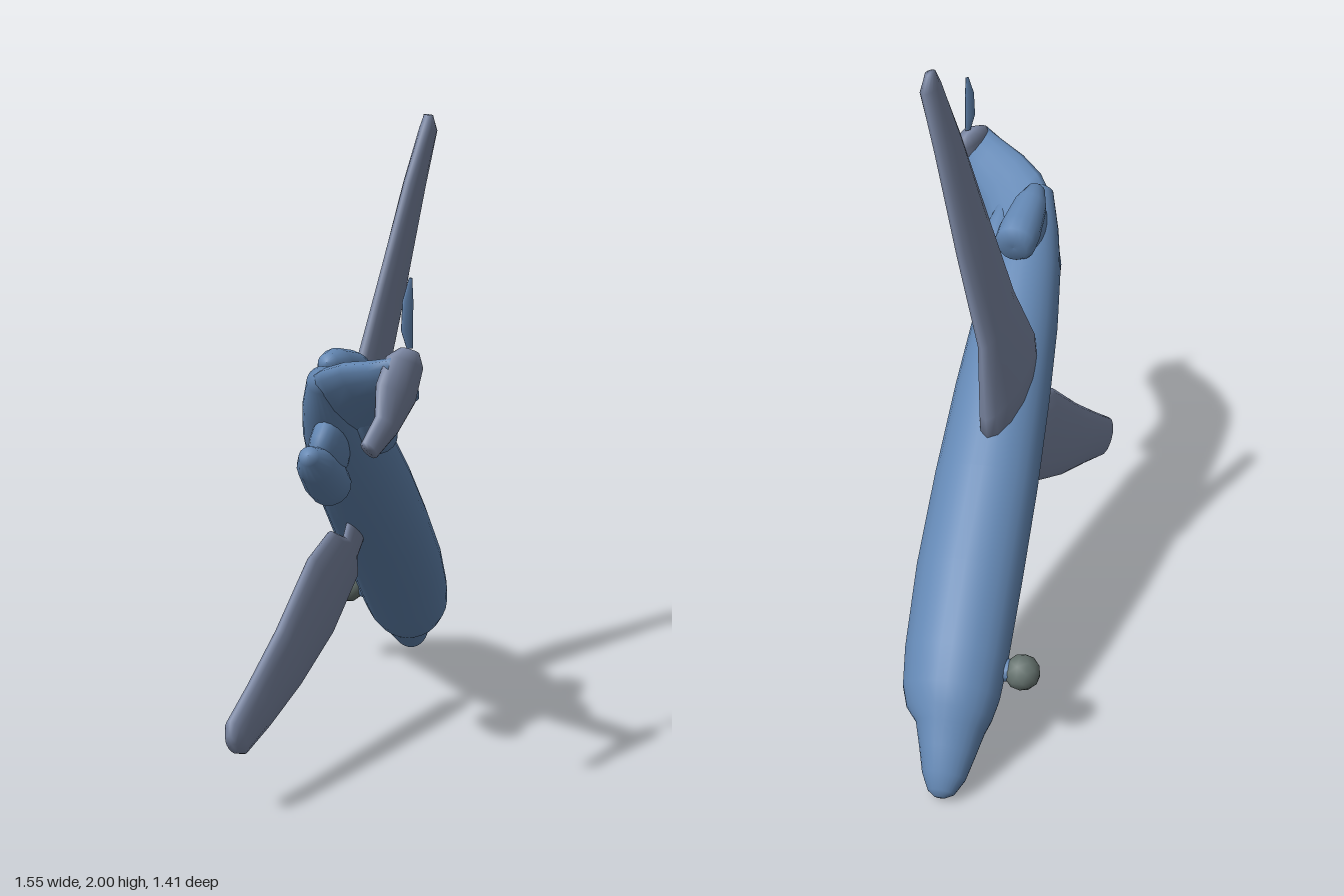
import * as THREE from 'three';

const V = (p) => new THREE.Vector3(...p);
// Airframe axes: side (left wing), up (fin) and forward (nose)
const SIDE = V([0.57, 0.78, -0.22]).normalize();
const FWD = V([0.63, -0.6, -0.49]).normalize();
const UP = new THREE.Vector3().crossVectors(FWD, SIDE).normalize();
SIDE.crossVectors(UP, FWD);

const blue = new THREE.MeshStandardMaterial({ color: 0x6488b4 });
const greyBlue = new THREE.MeshStandardMaterial({ color: 0x7c88a4 });
const greyGreen = new THREE.MeshStandardMaterial({ color: 0x66736f });

function add(parent, name, geometry, material) {
  const mesh = new THREE.Mesh(geometry, material);
  mesh.name = name;
  parent.add(mesh);
  return mesh;
}

// Body of revolution along z from [z, radius] pairs
function lathe(profile, sides = 24) {
  const pts = profile.map(([z, r]) => new THREE.Vector2(r, z));
  return new THREE.LatheGeometry(pts, sides).rotateX(Math.PI / 2);
}

// Lofted blade: sections are [leading point, trailing point, thickness]
function blade(sections, thickDir, sides = 14) {
  const pos = [], index = [], centres = [];
  let half;
  for (const [lead, trail, thick] of sections) {
    const centre = V(lead).add(V(trail)).multiplyScalar(0.5);
    half = V(lead).sub(centre);
    centres.push(centre);
    for (let j = 0; j < sides; j++) {
      const a = (j / sides) * Math.PI * 2;
      const p = centre.clone().addScaledVector(half, Math.cos(a))
        .addScaledVector(thickDir, Math.sin(a) * thick / 2);
      pos.push(p.x, p.y, p.z);
    }
  }
  const n = sections.length;
  const along = centres[n - 1].clone().sub(centres[0]);
  const flip = along.dot(half.clone().cross(thickDir)) < 0;
  const tri = (a, b, c) => (flip ? index.push(a, c, b) : index.push(a, b, c));
  const first = n * sides, last = first + 1;
  for (const c of [centres[0], centres[n - 1]]) pos.push(c.x, c.y, c.z);
  for (let j = 0; j < sides; j++) {
    const k = (j + 1) % sides;
    for (let i = 0; i < n - 1; i++) {
      const a = i * sides, b = a + sides;
      tri(a + j, a + k, b + j);
      tri(a + k, b + k, b + j);
    }
    tri(first, k, j);
    tri(last, (n - 1) * sides + j, (n - 1) * sides + k);
  }
  const g = new THREE.BufferGeometry();
  g.setAttribute('position', new THREE.Float32BufferAttribute(pos, 3));
  g.setIndex(index);
  g.computeVertexNormals();
  return g;
}

export function createModel() {
  const model = new THREE.Group();
  model.name = 'airliner';

  // Everything in this group is built nose along +z, fin along +y
  const airframe = new THREE.Group();
  airframe.name = 'airframe';
  airframe.quaternion.setFromRotationMatrix(new THREE.Matrix4().makeBasis(SIDE, UP, FWD));
  airframe.position.set(0, 0.84, -0.07);
  model.add(airframe);

  // Fuselage: slightly narrow, bent towards the nose, cut back at the windscreen
  const hull = lathe([
    [-0.77, 0], [-0.74, 0.045], [-0.6, 0.085], [-0.45, 0.115], [-0.25, 0.137], [0, 0.152],
    [0.3, 0.163], [0.6, 0.165], [0.85, 0.158], [0.96, 0.148], [1.02, 0.133], [1.06, 0.116],
    [1.13, 0.096], [1.2, 0.074], [1.245, 0.045], [1.258, 0.02], [1.26, 0],
  ], 28);
  const p = hull.attributes.position;
  for (let i = 0; i < p.count; i++) {
    const z = p.getZ(i), y = p.getY(i);
    const t = Math.max(0, (z - 0.5) / 0.75);
    const width = 1 - 0.1 * THREE.MathUtils.smoothstep(z, -0.2, 0.4);
    const roof = y > 0 ? 1 - 0.25 * THREE.MathUtils.smoothstep(z, 1.0, 1.08) : 1;
    p.setX(i, p.getX(i) * width - 0.075 * t * t);
    p.setY(i, y * roof - 0.004 * t * t);
  }
  hull.computeVertexNormals();
  add(airframe, 'fuselage', hull, blue);

  // Side engines and their pylons, each engine toed by its own angle
  const nacelle = [[-0.17, 0], [-0.16, 0.03], [-0.08, 0.055], [0.05, 0.068], [0.11, 0.066],
    [0.135, 0.045], [0.13, 0]];
  for (const [name, x, y, z, toe] of [
    ['left', 0.13, -0.015, -0.55, 0.36],
    ['right', -0.185, 0.01, -0.5, 0.12],
  ]) {
    const engine = add(airframe, name + 'Engine', lathe(nacelle, 16), blue);
    engine.position.set(x, y, z);
    engine.rotation.y = toe;
    const pylon = add(airframe, name + 'Pylon', new THREE.SphereGeometry(1, 14, 10), blue);
    pylon.scale.set(0.1, 0.055, 0.13);
    pylon.position.set(x * 0.55, y, z);
  }

  // Centre engine above the tail, blending into the fin
  add(airframe, 'centreEngine', lathe([[-0.2, 0], [-0.18, 0.025], [-0.08, 0.052], [0.03, 0.062],
    [0.08, 0.058], [0.095, 0.04], [0.09, 0]], 16), blue).position.set(0, 0.115, -0.5);

  // Nose wheel and strut
  add(airframe, 'noseWheel', new THREE.IcosahedronGeometry(0.055, 1), greyGreen)
    .position.set(-0.06, -0.2, 0.87);
  add(airframe, 'noseStrut', new THREE.CylinderGeometry(0.04, 0.03, 0.1, 10), blue)
    .position.set(-0.05, -0.15, 0.87);

  // Wings
  add(model, 'leftWing', blade([
    [[0.19, 0.78, -0.23], [-0.13, 0.95, -0.05], 0.14],
    [[0.21, 0.9, -0.24], [-0.1, 1.04, -0.08], 0.12],
    [[0.225, 1.15, -0.24], [-0.01, 1.22, -0.095], 0.075],
    [[0.27, 1.45, -0.195], [0.085, 1.48, -0.1], 0.06],
    [[0.32, 1.77, -0.165], [0.2, 1.79, -0.105], 0.055],
    [[0.35, 1.95, -0.145], [0.265, 1.96, -0.1], 0.05],
    [[0.33, 2.0, -0.14], [0.29, 2.0, -0.11], 0.03],
  ], UP), greyBlue);
  add(model, 'rightWing', blade([
    [[0.0, 0.68, -0.08], [-0.1, 0.76, -0.03], 0.04],
    [[-0.04, 0.6, -0.08], [-0.12, 0.7, -0.03], 0.04],
    [[-0.03, 0.54, -0.09], [-0.2, 0.74, -0.0], 0.065],
    [[-0.2, 0.4, -0.01], [-0.32, 0.69, 0.05], 0.07],
    [[-0.4, 0.3, 0.08], [-0.51, 0.52, 0.135], 0.065],
    [[-0.58, 0.235, 0.16], [-0.66, 0.4, 0.195], 0.06],
    [[-0.7, 0.195, 0.205], [-0.765, 0.32, 0.235], 0.06],
    [[-0.745, 0.215, 0.225], [-0.775, 0.28, 0.24], 0.035],
  ], UP), greyBlue);

  // Tail fin
  add(model, 'tailFin', blade([
    [[-0.2, 1.07, 0.17], [-0.48, 1.29, 0.26], 0.11],
    [[-0.26, 1.12, 0.29], [-0.51, 1.32, 0.34], 0.1],
    [[-0.34, 1.19, 0.42], [-0.52, 1.35, 0.44], 0.085],
    [[-0.38, 1.24, 0.54], [-0.525, 1.37, 0.56], 0.08],
    [[-0.4, 1.27, 0.63], [-0.53, 1.39, 0.65], 0.07],
  ], SIDE), blue);

  // Tailplane: the long right half, the stub on the left and its thin tip
  add(model, 'tailplane', blade([
    [[-0.4, 1.39, 0.61], [-0.45, 1.415, 0.63], 0.05],
    [[-0.39, 1.35, 0.61], [-0.51, 1.4, 0.645], 0.08],
    [[-0.42, 1.26, 0.62], [-0.56, 1.33, 0.655], 0.075],
    [[-0.5, 1.19, 0.645], [-0.58, 1.25, 0.67], 0.05],
    [[-0.6, 1.14, 0.675], [-0.64, 1.19, 0.685], 0.04],
  ], UP), greyBlue);
  add(model, 'tailplaneTip', blade([
    [[-0.415, 1.41, 0.62], [-0.435, 1.41, 0.62], 0.01],
    [[-0.415, 1.46, 0.62], [-0.455, 1.46, 0.62], 0.014],
    [[-0.415, 1.54, 0.62], [-0.45, 1.54, 0.62], 0.014],
    [[-0.418, 1.6, 0.62], [-0.428, 1.6, 0.62], 0.006],
  ], UP), blue);

  return model;
}
